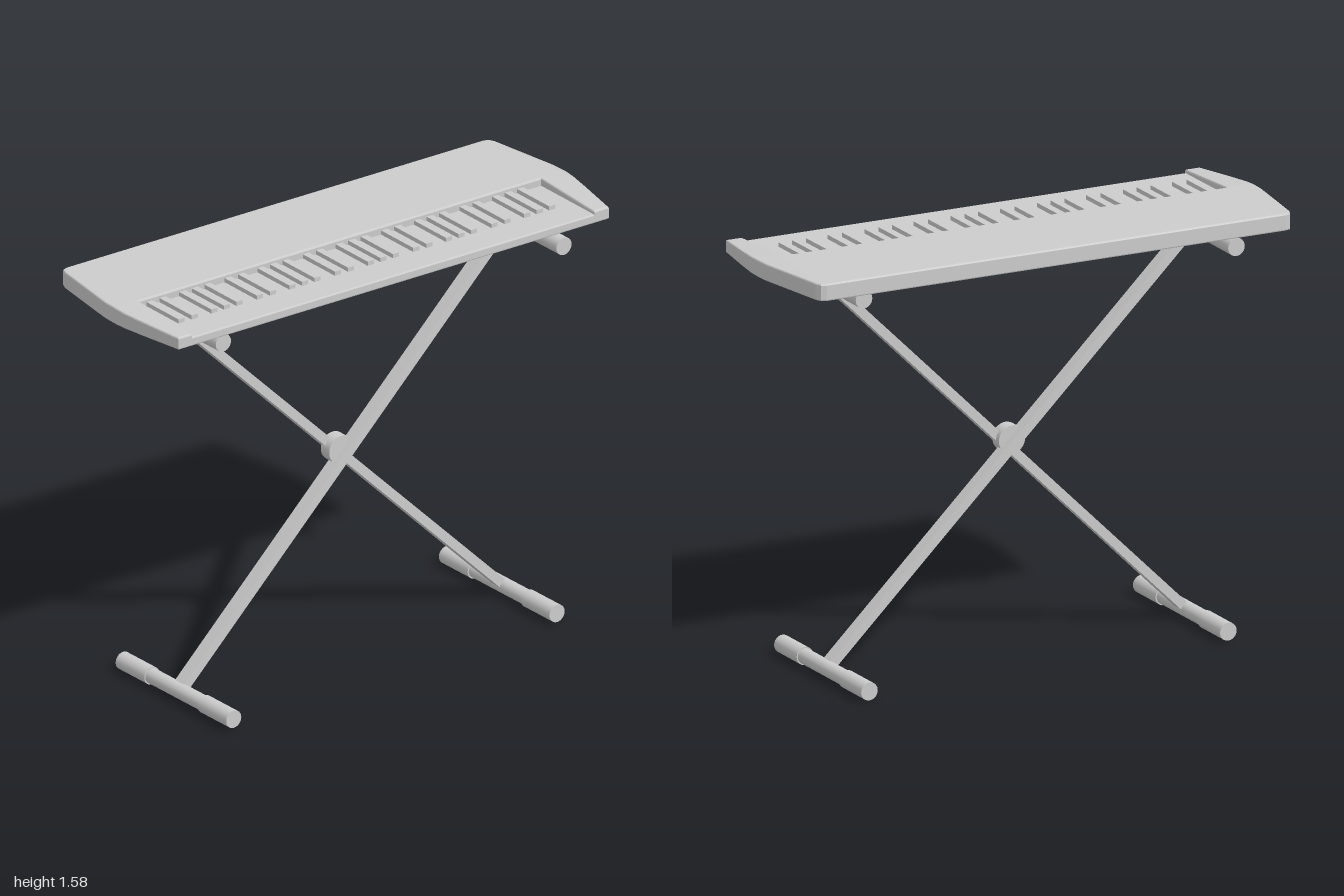
import * as THREE from 'three';

export function createModel() {
  const model = new THREE.Group();
  const mat = new THREE.MeshStandardMaterial({ color: 0xcccccc });
  const add = (parent, name, geo, x = 0, y = 0, z = 0) => {
    const mesh = new THREE.Mesh(geo, mat);
    mesh.name = name;
    mesh.position.set(x, y, z);
    parent.add(mesh);
    return mesh;
  };

  // Horizontal plate from an [x, z] outline, standing between two heights
  const plate = (points, y0, y1, bevel) => {
    const shape = new THREE.Shape(points.map(([x, z]) => new THREE.Vector2(x, -z)));
    return new THREE.ExtrudeGeometry(shape, {
      depth: y1 - y0 - 2 * bevel, bevelThickness: bevel, bevelSize: bevel,
      bevelOffset: -bevel, bevelSegments: 2,
    }).rotateX(-Math.PI / 2).translate(0, y0 + bevel, 0);
  };

  // ---- Keyboard ----
  const keyboard = new THREE.Group();
  keyboard.name = 'keyboard';
  model.add(keyboard);
  const keyLeft = -0.895, keyRight = 0.89, keyBack = 0.015, keyTop = 1.552;
  const side = [[0.955, 0.33], [0.985, 0.15], [0.998, 0.06], [1, 0.015], [0.998, -0.05],
    [0.985, -0.14], [0.955, -0.345], [0.945, -0.368], [0.925, -0.375]];
  const outline = [...side, ...side.map(([x, z]) => [-x, z]).reverse()];
  add(keyboard, 'baseAndWhiteKeys', plate(outline, 1.518, keyTop, 0.005));

  // Upper case: rear deck with an end cheek on each side of the keys
  const notch = [[keyLeft, 0.33], [keyLeft, keyBack], [keyRight, keyBack], [keyRight, 0.33]];
  const upper = plate([...outline, ...notch], 1.53, 1.582, 0.006);
  const p = upper.attributes.position;
  for (let i = 0; i < p.count; i++) { // the cheeks slope down to the front
    const t = Math.max(0, (p.getZ(i) - keyBack) / 0.315);
    if (p.getY(i) > 1.56) p.setY(i, p.getY(i) - 0.017 * t);
  }
  upper.computeVertexNormals();
  add(keyboard, 'deckAndCheeks', upper);

  // Five octaves of black keys
  const white = (keyRight - keyLeft) / 36;
  const blackSteps = [0.95, 2.12, 3.88, 5, 6.12];
  const blackGeo = new THREE.BoxGeometry(0.027, 0.022, 0.19);
  for (let octave = 0; octave < 5; octave++) {
    for (const step of blackSteps) {
      add(keyboard, 'blackKey', blackGeo, keyLeft + (octave * 7 + step) * white, 1.557, 0.11);
    }
  }

  // ---- Folding X stand, leaning very slightly back ----
  const stand = new THREE.Group();
  stand.name = 'stand';
  stand.rotation.x = -0.007;
  model.add(stand);
  const left = -0.74, right = 0.733, low = 0.0375, high = 1.479;
  const gripGeo = new THREE.CylinderGeometry(0.0335, 0.0335, 0.17, 24).rotateX(Math.PI / 2);
  const tubeGeo = new THREE.CylinderGeometry(0.029, 0.029, 0.4, 24).rotateX(Math.PI / 2);

  const crossbar = (name, x, y, z) => {
    const bar = new THREE.Group();
    bar.name = name;
    bar.position.set(x, y, z);
    add(bar, 'barTube', tubeGeo);
    for (const s of [-1, 1]) add(bar, 'rubberGrip', gripGeo, 0, 0, s * 0.2425);
    stand.add(bar);
  };

  // Each leg carries a foot bar below and a support bar above
  const legFrame = (name, x0, x1, z) => {
    const dx = x1 - x0, dy = high - low;
    const leg = add(stand, name, new THREE.BoxGeometry(0.034, Math.hypot(dx, dy), 0.052),
      (x0 + x1) / 2, (low + high) / 2, z);
    leg.rotation.z = -Math.atan2(dx, dy);
    crossbar('footBar', x0, low, z);
    crossbar('supportBar', x1, high, z);
  };
  legFrame('frontLeg', left, right, 0.0425);
  legFrame('rearLeg', right, left, -0.0085);

  // Locking disc at the crossing
  add(stand, 'pivotDisc',
    new THREE.CylinderGeometry(0.053, 0.053, 0.05, 32).rotateX(Math.PI / 2), -0.016, 0.777, 0.02);

  return model;
}
